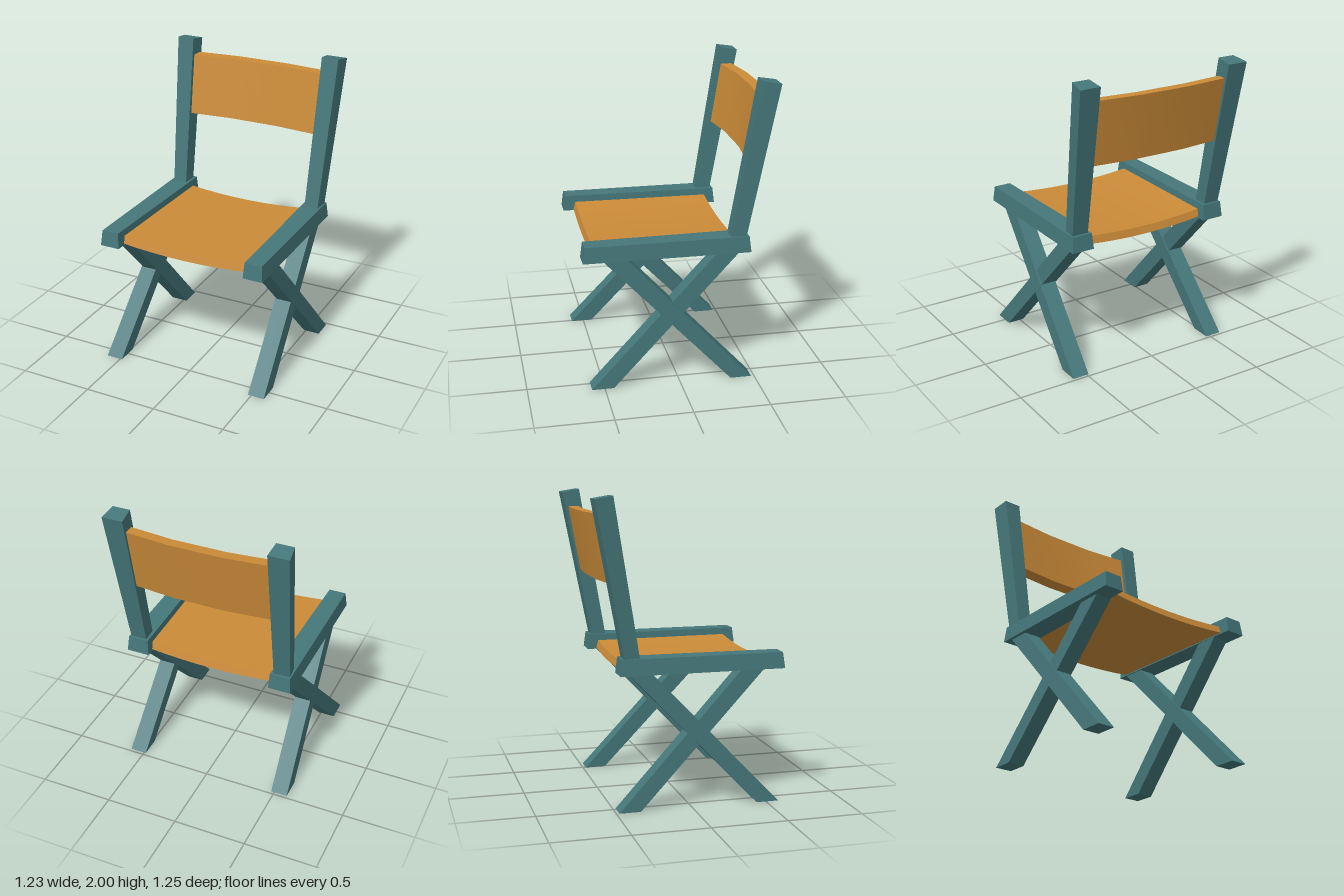
import * as THREE from 'three';
import { toCreasedNormals } from 'three/addons/utils/BufferGeometryUtils.js';

// Solid through a row of four-cornered rings, capped at both ends.
function loft(rings) {
  const tris = [];
  const quad = (a, b, c, d) => tris.push([a, b, c], [a, c, d]);
  for (let i = 0; i < rings.length - 1; i++) {
    for (let j = 0; j < 4; j++) {
      const k = (j + 1) % 4;
      quad(rings[i][j], rings[i][k], rings[i + 1][k], rings[i + 1][j]);
    }
  }
  const [a, b, c, d] = rings[0];
  quad(d, c, b, a);
  quad(...rings[rings.length - 1]);
  // Turn the faces outward whichever way the rings run.
  const vec = (p) => new THREE.Vector3(...p);
  const origin = vec(a);
  let volume = 0;
  for (const t of tris) {
    const [p, q, r] = t.map((v) => vec(v).sub(origin));
    volume += p.dot(q.cross(r));
  }
  if (volume < 0) tris.forEach((t) => t.reverse());
  const geo = new THREE.BufferGeometry();
  geo.setAttribute('position', new THREE.Float32BufferAttribute(tris.flat(2), 3));
  geo.computeVertexNormals();
  return toCreasedNormals(geo, 0.5);
}

export function createModel() {
  const chair = new THREE.Group();
  chair.name = 'foldingChair';
  const wood = new THREE.MeshStandardMaterial({ color: 0x45777a });
  wood.name = 'tealWood';
  const canvas = new THREE.MeshStandardMaterial({ color: 0xcb8b38 });
  canvas.name = 'orangeCanvas';

  const add = (name, rings, material) => {
    const mesh = new THREE.Mesh(loft(rings), material);
    mesh.name = name;
    chair.add(mesh);
  };

  for (const s of [1, -1]) {
    const side = s > 0 ? 'left' : 'right';

    // Seat rail, slightly wider at its base and tapering to the rear
    add(side + 'Rail', [
      [[s * 0.45, 0.88, 0.625], [s * 0.585, 0.88, 0.625], [s * 0.575, 0.985, 0.612], [s * 0.457, 0.985, 0.612]],
      [[s * 0.43, 0.88, -0.465], [s * 0.585, 0.88, -0.465], [s * 0.575, 0.985, -0.453], [s * 0.437, 0.985, -0.453]],
    ], wood);

    // Leaning back post, growing thicker upward
    add(side + 'BackPost', [
      [[s * 0.46, 0.93, -0.325], [s * 0.555, 0.93, -0.325], [s * 0.565, 0.93, -0.425], [s * 0.455, 0.93, -0.425]],
      [[s * 0.48, 2, -0.505], [s * 0.597, 2, -0.505], [s * 0.613, 1.98, -0.623], [s * 0.472, 1.98, -0.623]],
    ], wood);

    // Crossed, splayed legs, one a hair to the side of the other
    const leg = (name, topZ, footZ, shift) => {
      const ring = (y, inner, outer, [z0, z1]) => [
        [s * inner + shift, y, z0], [s * outer + shift, y, z0],
        [s * outer + shift, y, z1], [s * inner + shift, y, z1],
      ];
      add(side + name, [ring(0.89, 0.445, 0.558, topZ), ring(0, 0.482, 0.596, footZ)], wood);
    };
    leg('FrontToBackLeg', [0.505, 0.35], [-0.34, -0.48], 0.005);
    leg('BackToFrontLeg', [-0.26, -0.41], [0.585, 0.44], -0.005);
  }

  // Sagging seat
  const seat = [];
  for (let i = 0; i <= 8; i++) {
    const t = i / 4 - 1;
    const y = 0.914 + 0.027 * t * t;
    const front = 0.468 * t, back = 0.45 * t;
    seat.push([[front, y, 0.54], [front, y - 0.05, 0.555], [back, y - 0.05, -0.405], [back, y, -0.39]]);
  }
  add('seat', seat, canvas);

  // Backrest bowed rearward in three facets
  const backrest = [[-0.5, 0.032], [-0.18, 0], [0.18, 0], [0.5, 0.032]].map(([x, dz]) => [
    [x, 1.883, -0.54 + dz], [x, 1.475, -0.47 + dz], [x, 1.45, -0.535 + dz], [x, 1.885, -0.613 + dz],
  ]);
  add('backrest', backrest, canvas);

  return chair;
}
